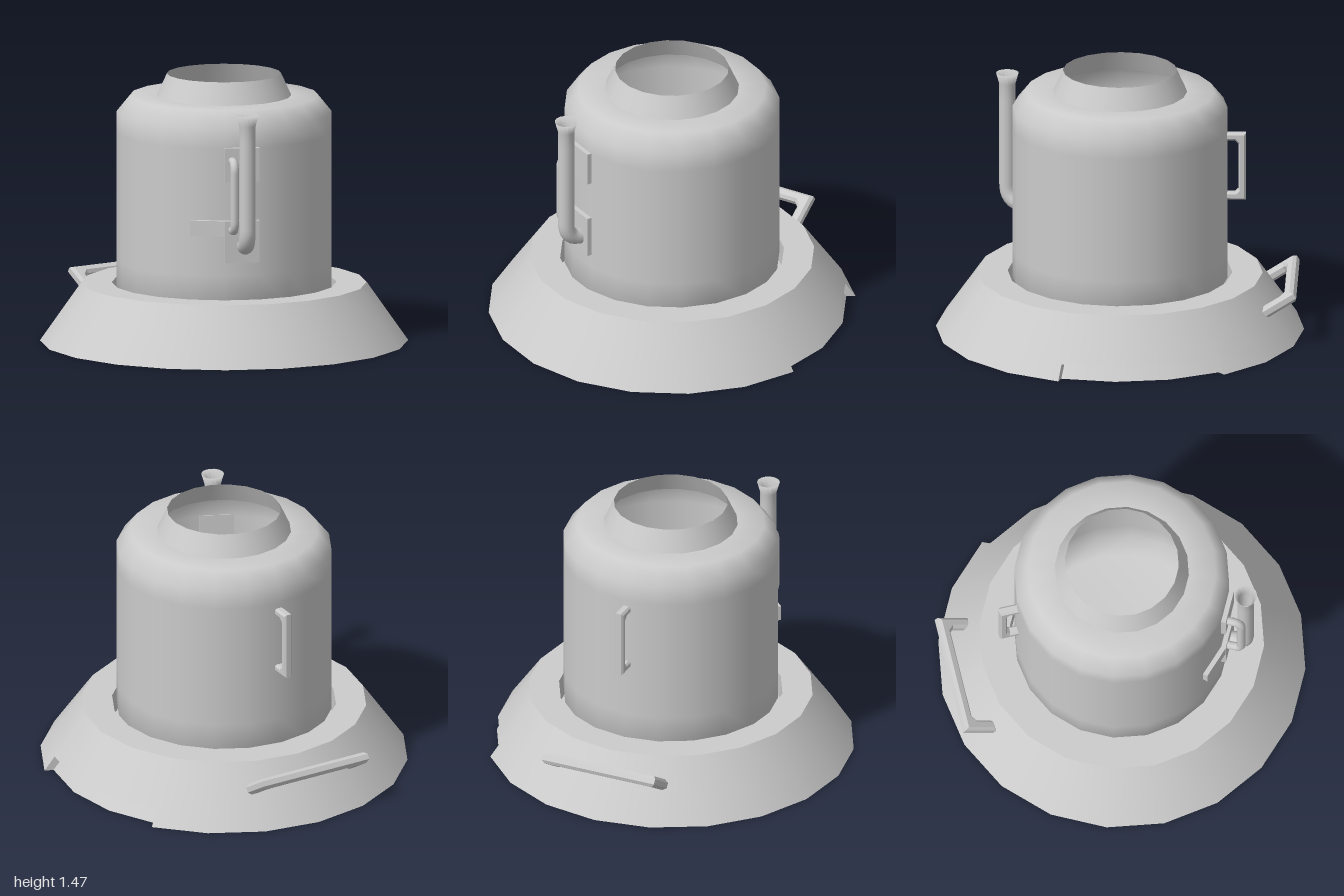
import * as THREE from 'three';

const SIDES = 20, STEP = Math.PI / 10, CZ = -0.03;
const mat = new THREE.MeshStandardMaterial({ color: 0xcccccc });
const thin = new THREE.MeshStandardMaterial({ color: 0xcccccc, side: THREE.DoubleSide });

function add(parent, name, geometry, material = mat) {
  const mesh = new THREE.Mesh(geometry, material);
  mesh.name = name;
  parent.add(mesh);
  return mesh;
}

// Turned surface from [radius, y] pairs, over a number of facets
function turned(profile, first = 0, count = SIDES) {
  const pts = profile.map(([r, y]) => new THREE.Vector2(r, y));
  return new THREE.LatheGeometry(pts, count, first * STEP, count * STEP);
}

// C-shaped grip: out along +x, long along y, chamfered edges
function grip(length, reach, bar, thick) {
  const h = length / 2, c = bar * 0.4, b = bar * 0.25;
  const shape = new THREE.Shape([
    [0, -h], [reach, -h], [reach, h], [0, h], [0, h - bar],
    [reach - bar - c, h - bar], [reach - bar, h - bar - c],
    [reach - bar, -h + bar + c], [reach - bar - c, -h + bar], [0, -h + bar],
  ].map(([x, y]) => new THREE.Vector2(x, y)));
  const g = new THREE.ExtrudeGeometry(shape, {
    depth: thick - 2 * b, bevelEnabled: true, bevelSegments: 1,
    bevelSize: b, bevelThickness: b, bevelOffset: -b,
  });
  return g.translate(0, 0, b - thick / 2);
}

function buildBase() {
  const base = new THREE.Group();
  base.name = 'base';
  base.position.z = CZ;
  add(base, 'baseSlope', turned([[0.944, 0.08], [0.775, 0.32]]));
  add(base, 'baseTop', turned([[0.775, 0.32], [0.61, 0.32]]));
  add(base, 'baseWellWall', turned([[0.61, 0.32], [0.61, 0.18]]));
  add(base, 'baseWellFloor', turned([[0.61, 0.18], [0, 0.18]]));
  // Lower rim, full for 17 facets and recessed for the 3 at the back
  add(base, 'baseRim', turned([[1, 0], [0.944, 0.08]], 12, 17));
  add(base, 'baseUnderside', turned([[0, 0], [1, 0]], 12, 17));
  add(base, 'notchSlope', turned([[0.95, 0], [0.89, 0.08]], 9, 3));
  add(base, 'notchCeiling', turned([[0.89, 0.08], [0.944, 0.08]], 9, 3));
  add(base, 'notchUnderside', turned([[0, 0], [0.95, 0]], 9, 3));
  const end = new THREE.Shape([[0.95, 0], [1, 0], [0.944, 0.08], [0.89, 0.08]]
    .map(([x, y]) => new THREE.Vector2(x, y)));
  for (const i of [9, 12]) {
    add(base, 'notchEnd', new THREE.ShapeGeometry(end), thin).rotation.y = i * STEP - Math.PI / 2;
  }
  return base;
}

function buildBody() {
  const body = new THREE.Group();
  body.name = 'body';
  body.position.z = CZ;
  add(body, 'shell', turned([
    [0, 0.2], [0.51, 0.2], [0.585, 0.29], [0.585, 0.45], [0.585, 1.15],
    [0.585, 1.26], [0.512, 1.35], [0.365, 1.35],
  ]), thin);
  add(body, 'neck', turned([[0.365, 1.35], [0.31, 1.47]]), thin);

  // Mounting plates lie on two neighbouring facets
  const plate = (parent, name, y0, y1) => {
    add(parent, name, new THREE.BoxGeometry(0.03, y1 - y0, 0.19))
      .position.set(0.589, (y0 + y1) / 2, 0);
  };
  const facet = (degrees, name) => {
    const g = new THREE.Group();
    g.name = name;
    g.rotation.y = -THREE.MathUtils.degToRad(degrees);
    body.add(g);
    return g;
  };
  const mount = facet(27, 'pipeMount');
  plate(mount, 'upperPlate', 0.97, 1.155);
  plate(mount, 'lowerPlate', 0.525, 0.755);
  plate(facet(45, 'sideMount'), 'plateArm', 0.67, 0.755);

  // Flared upright pipe with an elbow into the lower plate
  const V = (x, y, z) => new THREE.Vector3(x, y, z);
  const pipe = new THREE.LatheGeometry([
    [0.045, 0.72], [0.045, 1.2], [0.045, 1.29], [0.062, 1.35], [0.04, 1.29], [0.036, 0.9], [0, 0.9],
  ].map(([r, y]) => new THREE.Vector2(r, y)), 14);
  add(mount, 'pipe', pipe, thin).position.set(0.689, 0, -0.014);
  const elbow = new THREE.QuadraticBezierCurve3(
    V(0.689, 0.72, -0.014), V(0.689, 0.615, -0.014), V(0.59, 0.615, -0.014));
  add(mount, 'pipeElbow', new THREE.TubeGeometry(elbow, 8, 0.045, 14));

  // Thin rounded tube beside the pipe
  const z = 0.055, path = new THREE.CurvePath();
  path.add(new THREE.LineCurve3(V(0.59, 1.085, z), V(0.625, 1.085, z)));
  path.add(new THREE.QuadraticBezierCurve3(V(0.625, 1.085, z), V(0.682, 1.085, z), V(0.682, 1.03, z)));
  path.add(new THREE.LineCurve3(V(0.682, 1.03, z), V(0.682, 0.76, z)));
  path.add(new THREE.QuadraticBezierCurve3(V(0.682, 0.76, z), V(0.682, 0.705, z), V(0.625, 0.705, z)));
  path.add(new THREE.LineCurve3(V(0.625, 0.705, z), V(0.59, 0.705, z)));
  add(mount, 'sideTube', new THREE.TubeGeometry(path, 48, 0.023, 10));
  return body;
}

export function createModel() {
  const model = new THREE.Group();
  model.name = 'pot';
  model.add(buildBase(), buildBody());

  // Upright grip on the body's right side
  const small = add(model, 'bodyHandle', grip(0.38, 0.115, 0.042, 0.05));
  small.rotation.y = Math.PI;
  small.position.set(-0.57, 0.93, CZ);

  // Wide grip standing off the sloping base
  const out = new THREE.Vector3(-0.844, 0.537, 0).normalize();
  const along = new THREE.Vector3(0, 0, 1);
  const large = add(model, 'baseHandle', grip(0.67, 0.2, 0.062, 0.06));
  large.setRotationFromMatrix(new THREE.Matrix4().makeBasis(out, along, out.clone().cross(along)));
  large.position.set(-0.79, 0.187, -0.025);
  return model;
}
